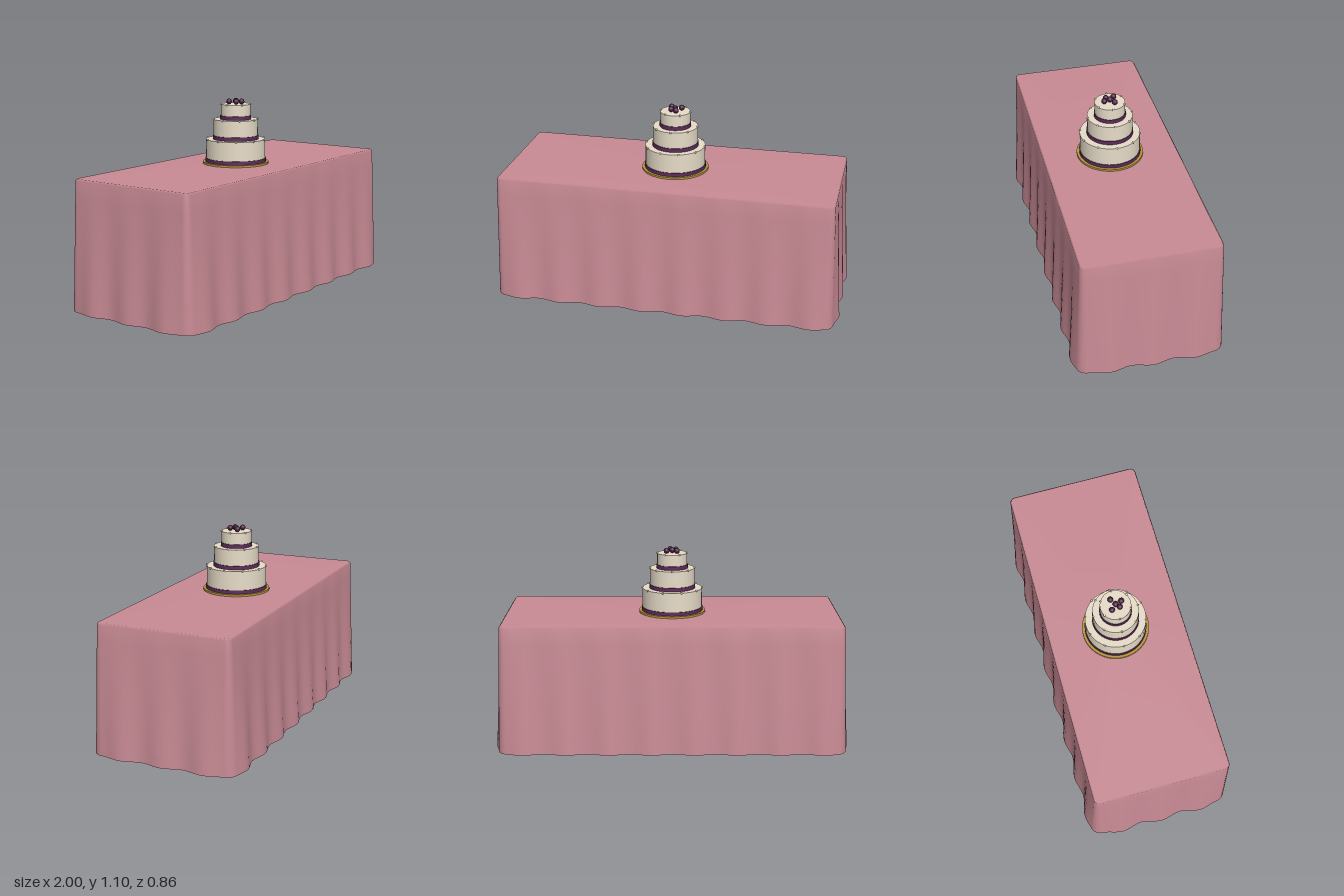
import * as THREE from 'three';

const mat = (name, color, side = THREE.FrontSide) => {
  const m = new THREE.MeshStandardMaterial({ color, side });
  m.name = name;
  return m;
};

// Rounded rectangle outline: points with outward normals and arc length
function outline(hx, hz, r) {
  const pts = [];
  const corners = [[1, 1], [-1, 1], [-1, -1], [1, -1]];
  corners.forEach(([sx, sz], i) => {
    const cx = sx * (hx - r), cz = sz * (hz - r);
    for (let k = 0; k <= 6; k++) {
      const a = (i + k / 6) * Math.PI / 2;
      const nx = Math.cos(a), nz = Math.sin(a);
      pts.push({ x: cx + r * nx, z: cz + r * nz, nx, nz });
    }
    // straight run to the next corner
    const [tx, tz] = corners[(i + 1) % 4];
    const a = (i + 1) * Math.PI / 2;
    const nx = Math.cos(a), nz = Math.sin(a);
    const last = pts[pts.length - 1];
    const ex = tx * (hx - r) + r * nx, ez = tz * (hz - r) + r * nz;
    const n = i % 2 ? 24 : 64;
    for (let k = 1; k < n; k++) {
      const t = k / n;
      pts.push({ x: last.x + (ex - last.x) * t, z: last.z + (ez - last.z) * t, nx, nz });
    }
  });
  let s = 0;
  pts.forEach((p, i) => {
    if (i) s += Math.hypot(p.x - pts[i - 1].x, p.z - pts[i - 1].z);
    p.s = s;
  });
  const total = s + Math.hypot(pts[0].x - p0(pts).x, pts[0].z - p0(pts).z);
  pts.forEach(p => { p.u = p.s / total; });
  return pts;
}
const p0 = pts => pts[pts.length - 1];

// Cloth with a flat top and folds that deepen toward the open hem
function clothGeometry() {
  const top = 0.725, lip = 0.716, pos = [], idx = [];
  const pts = outline(0.95, 0.382, 0.03), n = pts.length;
  const back = pts.reduce((b, p) =>
    p.z < -0.38 && Math.abs(p.x - 0.11) < Math.abs(b.x - 0.11) ? p : b, { x: 9 });
  const rows = [[top, -0.008, 0]];
  for (let j = 0; j <= 8; j++) rows.push([lip * (1 - j / 8), 0.036 * j / 8, 0.012 * j / 8]);
  rows.forEach(([y, grow, fold]) => pts.forEach(p => {
    const o = grow + fold * Math.cos((p.u - back.u) * 22 * Math.PI * 2);
    pos.push(p.x + p.nx * o, y, p.z + p.nz * o);
  }));
  for (let j = 0; j < rows.length - 1; j++) for (let i = 0; i < n; i++) {
    const a = j * n + i, b = j * n + (i + 1) % n;
    idx.push(a, b, a + n, b, b + n, a + n);
  }
  const c = pos.length / 3;
  pos.push(0, top, 0);
  for (let i = 0; i < n; i++) idx.push(c, (i + 1) % n, i);
  const g = new THREE.BufferGeometry();
  g.setAttribute('position', new THREE.Float32BufferAttribute(pos, 3));
  g.setIndex(idx);
  g.computeVertexNormals();
  return g;
}

export function createModel() {
  const model = new THREE.Group();
  model.name = 'cakeTable';
  const cloth = mat('rose cloth', 0xc98b95, THREE.DoubleSide);
  const icing = mat('cream icing', 0xeee3ce);
  const ribbon = mat('plum ribbon', 0x5c2b57);
  const gold = mat('gold', 0xb8963e);
  const pearl = mat('pearl', 0xe6dccb);
  const berry = mat('dark berry', 0x4a1f42);

  const add = (parent, name, geo, m, x = 0, y = 0, z = 0) => {
    const mesh = new THREE.Mesh(geo, m);
    mesh.name = name;
    mesh.position.set(x, y, z);
    parent.add(mesh);
    return mesh;
  };
  const disc = (r, h) => new THREE.CylinderGeometry(r, r, h, 48);

  add(model, 'tablecloth', clothGeometry(), cloth);

  const cake = new THREE.Group();
  cake.name = 'cake';
  model.add(cake);
  add(cake, 'cakeBoard', disc(0.189, 0.011), gold, 0, 0.7305, 0);

  // Tiers: radius, bottom, top, pearl count
  const tiers = [[0.17, 0.735, 0.865, 10], [0.127, 0.865, 0.979, 8], [0.085, 0.979, 1.065, 6]];
  tiers.forEach(([r, y0, y1, count], t) => {
    const tier = new THREE.Group();
    tier.name = 'tier' + (t + 1);
    cake.add(tier);
    add(tier, 'icing', disc(r, y1 - y0), icing, 0, (y0 + y1) / 2, 0);
    add(tier, 'ribbonBand', disc(r + 0.004, 0.022), ribbon, 0, y0 + 0.011, 0);
    const bead = new THREE.SphereGeometry(0.006, 10, 8);
    for (let i = 0; i < count; i++) {
      const a = i / count * Math.PI * 2;
      add(tier, 'pearl', bead, pearl, r * Math.cos(a), y1, r * Math.sin(a));
    }
  });

  // Berries on top
  const berries = [[-0.027, -0.027], [0.032, -0.02], [0, 0], [-0.021, 0.018], [0.01, 0.034]];
  const fruit = new THREE.SphereGeometry(0.016, 12, 10);
  berries.forEach(([x, z]) => add(cake, 'berry', fruit, berry, x, 1.08, z));
  return model;
}
